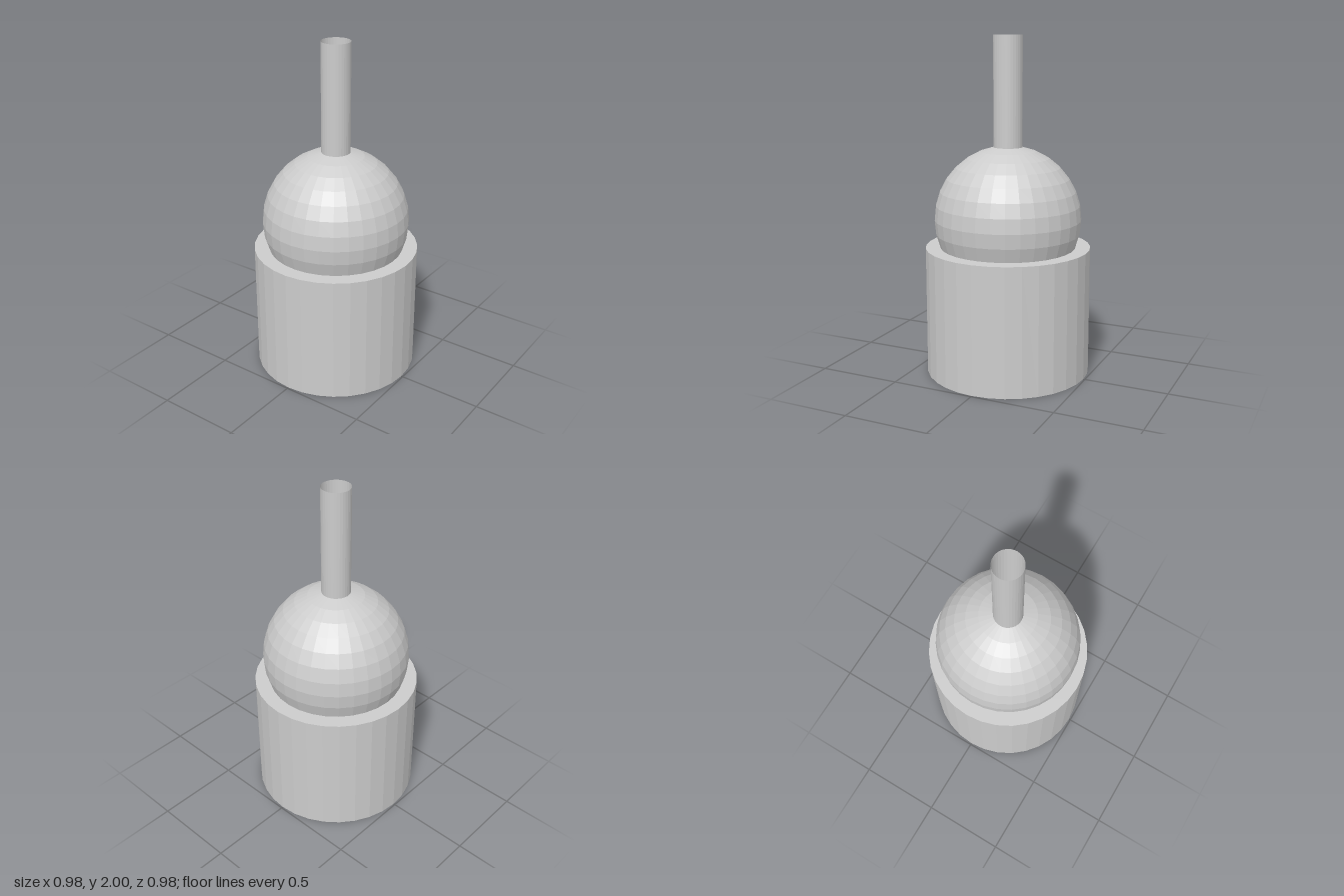
import * as THREE from 'three';

const SIDES = 32;
const BASE_RADIUS = 0.49;
const BALL_RADIUS = 0.435;
const BALL_CENTRE = 0.93;
const STEP = Math.PI / 16; // angle between the ball's rings

// Point on the ball's outline, counted in rings from the top pole
const ballPoint = (ring) => [
  BALL_RADIUS * Math.sin(ring * STEP),
  BALL_CENTRE + BALL_RADIUS * Math.cos(ring * STEP),
];

export function createModel() {
  const group = new THREE.Group();
  const material = new THREE.MeshStandardMaterial({
    color: 0xcccccc,
    flatShading: true,
    side: THREE.DoubleSide,
  });

  // Turned part from a profile of [radius, height], listed bottom to top
  const addTurned = (name, profile) => {
    const points = profile.map(([r, y]) => new THREE.Vector2(r, y));
    const mesh = new THREE.Mesh(new THREE.LatheGeometry(points, SIDES), material);
    mesh.name = name;
    group.add(mesh);
  };

  const [seatRadius, seatHeight] = ballPoint(10);
  const [neckRadius, neckHeight] = ballPoint(1);

  // Drum with a closed bottom and a rim that meets the ball
  addTurned('base', [[0, 0], [BASE_RADIUS, 0], [BASE_RADIUS, seatHeight], [seatRadius, seatHeight]]);

  // Ball cut off flat at the base and at the tube
  addTurned('ball', Array.from({ length: 10 }, (_, i) => ballPoint(10 - i)));

  // Thin tube, open at the top
  addTurned('tube', [[neckRadius, neckHeight], [neckRadius, 2]]);

  return group;
}
